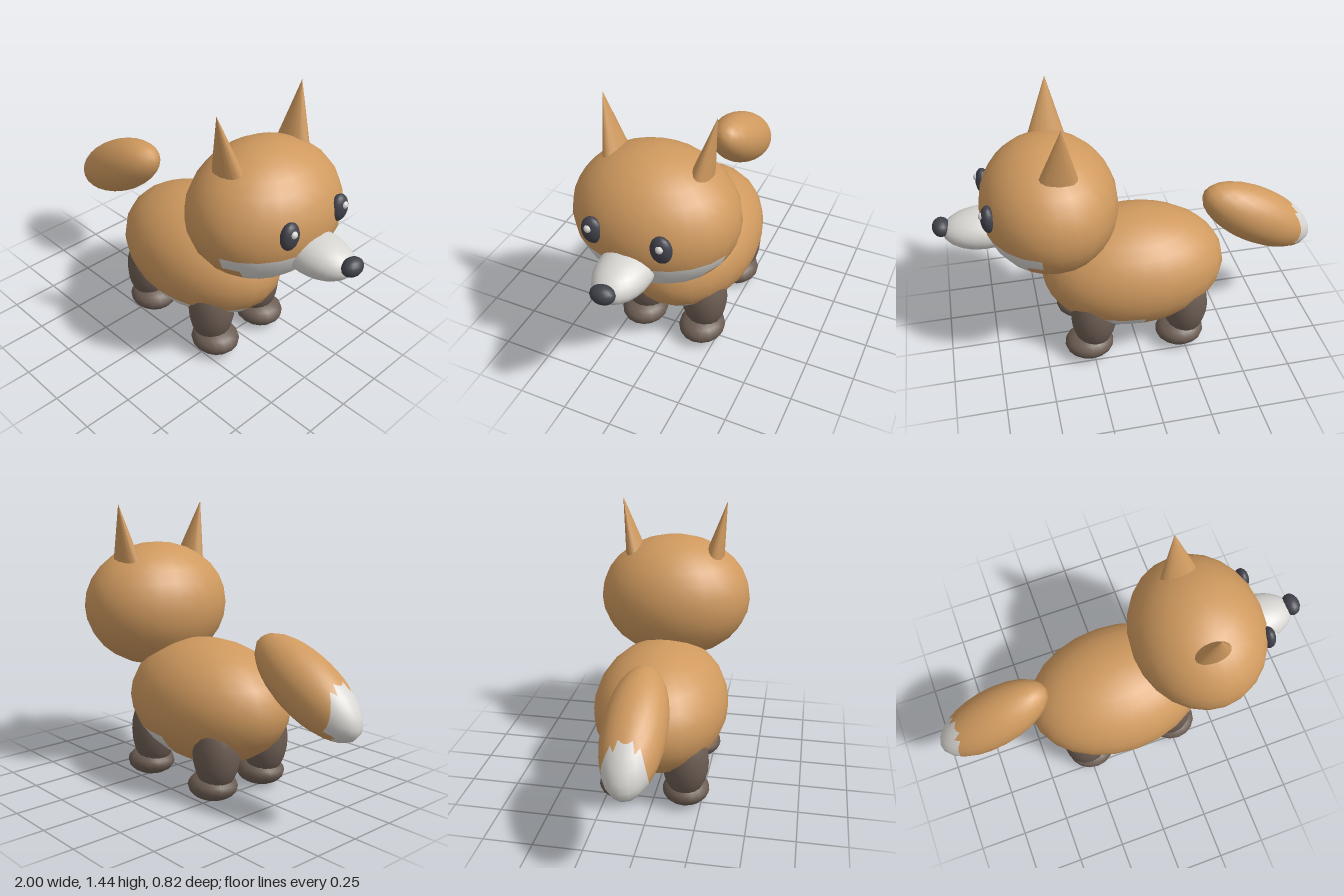
import * as THREE from 'three';

const mat = (name, color) => {
  const m = new THREE.MeshStandardMaterial({ color });
  m.name = name;
  return m;
};

export function createModel() {
  const orange = mat('orange fur', 0xd09a5f);
  const white = mat('white fur', 0xd8d6d2);
  const brown = mat('brown leg', 0x6c5d53);
  const dark = mat('dark nose', 0x42424c);
  const model = new THREE.Group();

  // Ellipsoid with its pole along y
  const blob = (name, material, pos, radii, parent = model, w = 24, h = 14) => {
    const g = new THREE.SphereGeometry(1, w, h).scale(...radii);
    const mesh = new THREE.Mesh(g, material);
    mesh.name = name;
    mesh.position.set(...pos);
    parent.add(mesh);
    return mesh;
  };

  // Repaint the quads of an ellipsoid white wherever the rule holds at their centre
  const paint = (mesh, isWhite, w = 24, h = 14) => {
    mesh.updateMatrix();
    const p = mesh.geometry.attributes.position;
    const lists = [[], []];
    const c = new THREE.Vector3(), v = new THREE.Vector3();
    for (let iy = 0; iy < h; iy++) {
      for (let ix = 0; ix < w; ix++) {
        const a = iy * (w + 1) + ix, b = a + w + 1;
        c.set(0, 0, 0);
        for (const i of [a, a + 1, b, b + 1]) c.addScaledVector(v.fromBufferAttribute(p, i), 0.25);
        c.applyMatrix4(mesh.matrix);
        const out = lists[isWhite(c) ? 1 : 0];
        if (iy > 0) out.push(a + 1, a, b + 1);
        if (iy < h - 1) out.push(a, b, b + 1);
      }
    }
    mesh.geometry.setIndex([...lists[0], ...lists[1]]);
    mesh.geometry.clearGroups();
    mesh.geometry.addGroup(0, lists[0].length, 0);
    mesh.geometry.addGroup(lists[0].length, lists[1].length, 1);
    mesh.material = [orange, white];
  };

  // Body with white chest
  const body = blob('body', orange, [-0.01, 0.44, 0], [0.49, 0.32, 0.35]);
  paint(body, (c) => c.y < 0.3 && c.x > 0.03);

  // Head with white cheeks
  const head = blob('head', orange, [0.42, 0.895, 0], [0.345, 0.335, 0.41]);
  paint(head, (c) => c.y < 0.82 && c.x > 0.535);

  // Tail with white tip
  const tail = blob('tail', orange, [-0.69, 0.645, 0], [0.346, 0.15, 0.15]);
  tail.rotation.z = Math.PI / 6;
  paint(tail, (c) => c.x < -0.89);

  // Muzzle and nose
  blob('muzzle', white, [0.75, 0.79, 0], [0.205, 0.1, 0.132]);
  blob('nose', dark, [0.955, 0.82, 0], [0.045, 0.045, 0.06], model, 16, 10);

  for (const s of [1, -1]) {
    const side = s > 0 ? 'Left' : 'Right';

    // Eyes with highlights
    blob('eye' + side, dark, [0.728, 0.95, s * 0.17], [0.036, 0.07, 0.053], model, 16, 12);
    blob('eyeHighlight' + side, white, [0.752, 0.973, s * 0.175], [0.02, 0.02, 0.02], model, 12, 8);

    // Flattened, outward-tilted ears
    const ear = new THREE.Mesh(new THREE.ConeGeometry(1, 0.31, 16).scale(0.098, 1, 0.052), orange);
    ear.name = 'ear' + side;
    ear.position.set(0.382, 1.29, s * 0.247);
    ear.rotation.set(s * 0.2, 0, 0.06);
    model.add(ear);

    // Legs and paws
    for (const [name, x] of [['front', 0.24], ['back', -0.26]]) {
      const leg = new THREE.Group();
      leg.name = name + 'Leg' + side;
      leg.position.set(x, 0, s * 0.168);
      blob('shin', brown, [0, 0.25, 0], [0.12, 0.2, 0.12], leg, 16, 12);
      blob('paw', brown, [0.028, 0.072, 0], [0.131, 0.072, 0.122], leg, 16, 10);
      model.add(leg);
    }
  }
  return model;
}
